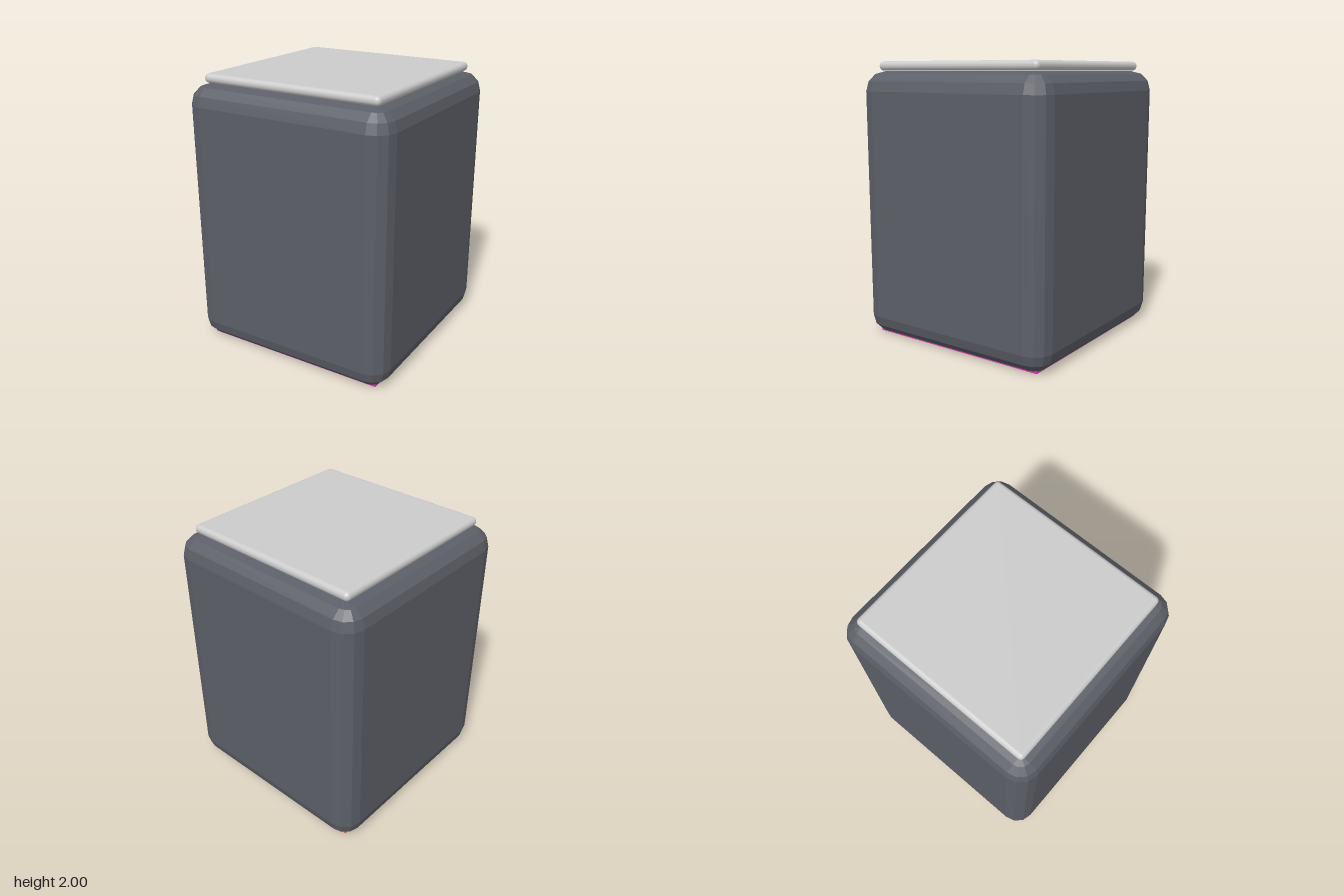
import * as THREE from 'three';
import { ConvexGeometry } from 'three/addons/geometries/ConvexGeometry.js';
import { RoundedBoxGeometry } from 'three/addons/geometries/RoundedBoxGeometry.js';

// Box with faceted rounded edges: hull of an eighth of a sphere at each corner
function bevelledBox(w, h, d, r, steps) {
  const points = [];
  for (const sx of [-1, 1]) for (const sy of [-1, 1]) for (const sz of [-1, 1]) {
    for (let i = 0; i <= steps; i++) {
      const lat = (i / steps) * Math.PI / 2;
      const around = i === steps ? 0 : steps;
      for (let j = 0; j <= around; j++) {
        const lon = (j / steps) * Math.PI / 2;
        points.push(new THREE.Vector3(
          sx * (w / 2 - r + r * Math.cos(lat) * Math.cos(lon)),
          sy * (h / 2 - r + r * Math.sin(lat)),
          sz * (d / 2 - r + r * Math.cos(lat) * Math.sin(lon))));
      }
    }
  }
  return new ConvexGeometry(points);
}

export function createModel() {
  const model = new THREE.Group();
  const add = (name, geometry, color, y, flatShading = false) => {
    const mesh = new THREE.Mesh(geometry, new THREE.MeshStandardMaterial({ color, flatShading }));
    mesh.name = name;
    mesh.position.y = y;
    model.add(mesh);
  };

  // Main block with three-step bevels
  add('body', bevelledBox(1.574, 1.93, 1.574, 0.14, 3), 0x5c5f67, 0.965, true);

  // Thin rounded plate on top
  add('topPlate', new RoundedBoxGeometry(1.364, 0.066, 1.364, 3, 0.032), 0xcccccc, 1.967);

  // Coloured slab showing as a rim around the foot of the body
  add('baseTrim', new THREE.BoxGeometry(1.4, 0.026, 1.4), 0xd93fae, 0.015);

  return model;
}
